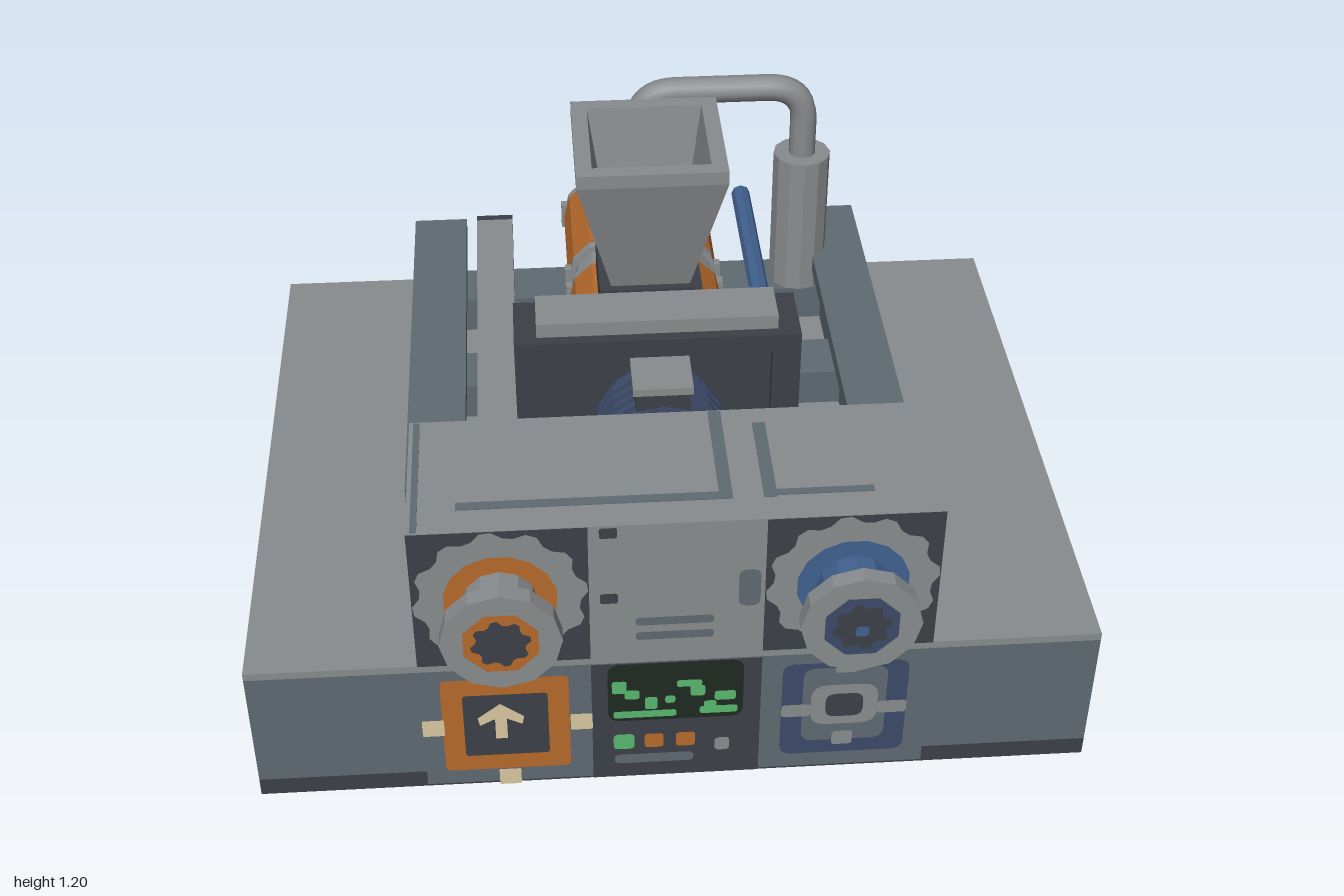
import * as THREE from 'three';

export function createModel() {
  const root = new THREE.Group();
  root.name = 'extruderMachine';
  const colors = {
    gray: 0x898c8e, steel: 0x5f6a72, dark: 0x3c4047, orange: 0xb5692b, blue: 0x41618f,
    navy: 0x3c4b68, cream: 0xd9c8a0, green: 0x58b870, screen: 0x1f2a20,
  };
  const M = {};
  for (const k in colors) {
    M[k] = new THREE.MeshStandardMaterial({ color: colors[k] });
    M[k].name = k;
  }

  const add = (name, geo, mat, x = 0, y = 0, z = 0) => {
    const m = new THREE.Mesh(geo, M[mat]);
    m.name = name;
    m.position.set(x, y, z);
    root.add(m);
    return m;
  };
  const flat = (geo) => {
    const g = geo.index ? geo.toNonIndexed() : geo;
    g.computeVertexNormals();
    return g;
  };
  // Box given by its minimum and maximum corners
  const box = (name, mat, x0, x1, y0, y1, z0, z1) =>
    add(name, new THREE.BoxGeometry(x1 - x0, y1 - y0, z1 - z0), mat, (x0 + x1) / 2, (y0 + y1) / 2, (z0 + z1) / 2);
  // Upright cylinder, and cylinder lying along z
  const cylY = (name, mat, r, x, z, y0, y1, n = 12) =>
    add(name, flat(new THREE.CylinderGeometry(r, r, y1 - y0, n)), mat, x, (y0 + y1) / 2, z);
  const cylZ = (name, mat, r, x, y, z0, z1, n = 12) =>
    add(name, flat(new THREE.CylinderGeometry(r, r, z1 - z0, n).rotateX(Math.PI / 2)), mat, x, y, (z0 + z1) / 2);

  // Flat painted shapes
  const roundRect = (w, h, r) => {
    const s = new THREE.Shape(), a = w / 2, b = h / 2;
    s.moveTo(-a + r, -b);
    s.lineTo(a - r, -b); s.quadraticCurveTo(a, -b, a, -b + r);
    s.lineTo(a, b - r); s.quadraticCurveTo(a, b, a - r, b);
    s.lineTo(-a + r, b); s.quadraticCurveTo(-a, b, -a, b - r);
    s.lineTo(-a, -b + r); s.quadraticCurveTo(-a, -b, -a + r, -b);
    return s;
  };
  const gearShape = (rOut, rIn, teeth) => {
    const pts = [];
    for (let i = 0; i < teeth * 4; i++) {
      const a = ((i + 0.5) / (teeth * 4)) * Math.PI * 2, r = i % 4 < 2 ? rOut : rIn;
      pts.push(new THREE.Vector2(Math.cos(a) * r, Math.sin(a) * r));
    }
    return new THREE.Shape(pts);
  };
  const FRONT = 0.725;
  const paint = (name, mat, shape, x, y, layer, z = FRONT) =>
    add(name, new THREE.ShapeGeometry(shape, 4), mat, x, y, z + layer * 0.002);
  const patch = (name, mat, x, y, w, h, r, layer) => paint(name, mat, roundRect(w, h, r), x, y, layer);

  // Hollow base: deck, outer walls, inner ribs, dark skirting
  box('baseDeck', 'gray', -1, 1, 0.38, 0.4, -0.875, 0.725);
  const wall = (name, x0, x1, z0, z1) => {
    box(name, 'steel', x0, x1, 0.05, 0.38, z0, z1);
    box(name + 'Skirting', 'dark', x0, x1, 0, 0.05, z0, z1);
  };
  for (const s of [-1, 1]) {
    wall('baseSideWall', s > 0 ? 0.97 : -1, s > 0 ? 1 : -0.97, -0.875, 0.725);
    wall('baseFrontWall', s > 0 ? 0.6 : -0.97, s > 0 ? 0.97 : -0.6, 0.695, 0.725);
  }
  wall('baseBackWall', -0.97, 0.97, -0.875, -0.845);
  for (const z of [-0.475, -0.075, 0.305]) wall('baseRib', -0.97, 0.97, z - 0.02, z + 0.02);

  // Lower control block and upper housing
  box('controlBlock', 'steel', -0.6, 0.6, 0.005, 0.38, 0.325, FRONT);
  box('controlBlockBottom', 'dark', -0.6, 0.6, 0, 0.005, 0.325, FRONT);
  box('housing', 'gray', -0.6, 0.6, 0.4, 0.8, 0.325, FRONT);

  // Housing front: dark side panels, dial plates and pipe stubs
  for (const [s, accent, pipe] of [[-1, 'orange', 'gray'], [1, 'blue', 'blue']]) {
    const x = s * 0.4, ring = s < 0 ? 'orange' : 'navy';
    patch('dialPanel', 'dark', x, 0.6, 0.4, 0.4, 0.002, 1);
    paint('dialPlate', 'gray', gearShape(0.199, 0.182, 12), x, 0.6, 2);
    paint('dialRing', accent, gearShape(0.13, 0.13, 4), x, 0.6, 3);
    cylZ('pipeStub', pipe, 0.085, x, 0.6, FRONT, 0.83);
    cylZ('pipeFlange', 'gray', 0.137, x, 0.6, 0.83, 0.87);
    paint('pipeRing', ring, gearShape(0.09, 0.09, 2), x, 0.6, 1, 0.87);
    paint('pipeBore', 'dark', gearShape(0.068, 0.056, 8), x, 0.6, 2, 0.87);
  }
  patch('boreCore', 'blue', 0.4, 0.59, 0.03, 0.03, 0.01, 76);

  // Housing centre slots
  for (const y of [0.51, 0.465]) patch('ventSlot', 'steel', -0.005, y, 0.18, 0.024, 0.01, 1);
  for (const y of [0.78, 0.585]) patch('latchSlot', 'dark', -0.155, y, 0.04, 0.03, 0.006, 1);
  patch('wornPatch', 'steel', 0.165, 0.6, 0.05, 0.11, 0.02, 1);

  // Worn strips on the housing top and sides
  const topStrip = (x0, x1, z0, z1) => box('topWornStrip', 'steel', x0, x1, 0.8, 0.802, z0, z1);
  topStrip(-0.49, 0.13, 0.625, 0.65);
  topStrip(0.1, 0.13, 0.33, 0.625);
  topStrip(0.2, 0.23, 0.38, 0.65);
  topStrip(0.23, 0.45, 0.625, 0.645);
  topStrip(-0.59, -0.575, 0.33, 0.72);
  for (const s of [-1, 1]) {
    const x0 = s > 0 ? 0.6 : -0.602;
    box('sideWornStrip', 'steel', x0, x0 + 0.002, 0.42, 0.72, 0.62, 0.655);
    box('sideWornStrip', 'steel', x0, x0 + 0.002, 0.705, 0.74, 0.48, 0.65);
    box('sideWornStrip', 'steel', x0, x0 + 0.002, 0.71, 0.72, 0.33, 0.48);
  }

  // Left control panel: orange frame, arrow and cream tabs
  patch('arrowFrame', 'orange', -0.403, 0.2, 0.3, 0.3, 0.015, 1);
  patch('arrowScreen', 'dark', -0.403, 0.2, 0.2, 0.2, 0.01, 2);
  for (const [x, y] of [[-0.4, 0.375], [-0.4, 0.025], [-0.575, 0.2], [-0.225, 0.2]])
    patch('creamTab', 'cream', x, y, 0.052, 0.052, 0.003, 3);
  const arrow = new THREE.Shape([[-0.014, -0.055], [0.014, -0.055], [0.014, 0.01], [0.05, -0.01], [0.055, 0.015],
    [0, 0.06], [-0.055, 0.015], [-0.05, -0.01], [-0.014, 0.01]].map((p) => new THREE.Vector2(...p)));
  paint('arrow', 'cream', arrow, -0.415, 0.212, 3);

  // Centre control panel: display and buttons
  patch('displayPanel', 'dark', 0, 0.19, 0.4, 0.378, 0.002, 1);
  patch('display', 'screen', -0.002, 0.285, 0.32, 0.185, 0.03, 2);
  for (const [x, y, w, h] of [[-0.075, 0.215, 0.15, 0.022], [0.1, 0.22, 0.09, 0.024], [-0.135, 0.305, 0.035, 0.04],
    [-0.105, 0.28, 0.035, 0.03], [-0.06, 0.25, 0.03, 0.04], [0.03, 0.31, 0.06, 0.022], [0.05, 0.285, 0.035, 0.035],
    [0.115, 0.265, 0.05, 0.03], [-0.015, 0.26, 0.024, 0.024], [0.08, 0.235, 0.03, 0.03]])
    patch('displayTrace', 'green', x, y, w, h, 0.008, 3);
  patch('button', 'green', -0.125, 0.122, 0.05, 0.05, 0.012, 2);
  for (const x of [-0.053, 0.022]) patch('button', 'orange', x, 0.122, 0.046, 0.046, 0.01, 2);
  patch('panelSlot', 'steel', -0.053, 0.063, 0.19, 0.03, 0.014, 2);
  patch('panelKnob', 'gray', 0.11, 0.1, 0.036, 0.042, 0.012, 2);

  // Right control panel: navy plate and gray port
  patch('portPlate', 'navy', 0.4, 0.2, 0.3, 0.3, 0.03, 1);
  patch('portGround', 'steel', 0.4, 0.215, 0.2, 0.24, 0.03, 2);
  patch('portRim', 'gray', 0.4, 0.215, 0.16, 0.13, 0.04, 3);
  patch('portHole', 'dark', 0.4, 0.215, 0.09, 0.075, 0.025, 4);
  patch('portKnob', 'gray', 0.4, 0.102, 0.05, 0.045, 0.01, 3);
  patch('portTab', 'gray', 0.4, 0.35, 0.05, 0.06, 0.005, 3);
  for (const x of [0.285, 0.515]) patch('portTab', 'gray', x, 0.2, 0.07, 0.04, 0.01, 3);

  // Side rails, cross beams and barrel saddles
  for (const s of [-1, 1]) {
    const at = (name, w, y0, y1) => box(name, 'steel', s * 0.5525 - w / 2, s * 0.5525 + w / 2, y0, y1, -0.875, 0.325);
    at('railWeb', 0.09, 0.4, 0.555);
    at('railCap', 0.145, 0.555, 0.6);
  }
  for (const z of [-0.685, -0.285]) {
    box('crossBeam', 'steel', -0.51, 0.51, 0.4, 0.5, z - 0.075, z + 0.075);
    box('barrelSaddle', 'dark', -0.15, 0.15, 0.5, 0.57, z - 0.1, z + 0.1);
  }
  box('cableTray', 'gray', -0.45, -0.35, 0.56, 0.61, -0.85, 0.325);
  box('cableTrayEnd', 'dark', -0.45, -0.35, 0.56, 0.61, -0.873, -0.85);
  for (const z of [-0.685, -0.285, 0.2]) box('cableTrayPost', 'steel', -0.43, -0.37, 0.4, 0.56, z - 0.04, z + 0.04);

  // Twin barrel: gray cores, orange heater jackets, clamp flanges
  for (const s of [-1, 1]) {
    cylZ('barrelCore', 'gray', 0.105, s * 0.085, 0.625, -0.873, -0.07);
    for (const z of [-0.68, -0.27]) {
      cylZ('heaterJacket', 'orange', 0.125, s * 0.078, 0.625, z - 0.15, z + 0.15);
      for (const e of [-0.163, 0.163]) {
        cylZ('barrelFlange', 'gray', 0.118, s * 0.085, 0.625, z + e - 0.013, z + e + 0.013);
        box('flangeLug', 'gray', s * 0.19 - 0.02, s * 0.19 + 0.02, 0.59, 0.66, z + e - 0.013, z + e + 0.013);
      }
    }
  }
  cylZ('coolantRod', 'blue', 0.026, 0.303, 0.655, -0.873, -0.07, 8);

  // Gearbox with corner posts and lid
  box('gearboxBody', 'dark', -0.31, 0.31, 0.4, 0.82, -0.05, 0.08);
  for (const s of [-1, 1])
    for (const z of [-0.05, 0.085]) box('gearboxPost', 'dark', s * 0.315 - 0.035, s * 0.315 + 0.035, 0.4, 0.82, z - 0.022, z + 0.022);
  box('gearboxLid', 'dark', -0.35, 0.35, 0.81, 0.855, -0.073, 0.108);
  box('gearboxCover', 'gray', -0.295, 0.295, 0.855, 0.893, -0.045, 0.08);

  // Finned motor
  cylZ('motorBody', 'navy', 0.145, 0, 0.615, 0.08, 0.325, 16);
  for (let i = 0; i < 6; i++) cylZ('motorFin', 'navy', 0.163, 0, 0.615, 0.125 + i * 0.034, 0.142 + i * 0.034, 16);
  box('motorTerminalBox', 'dark', -0.065, 0.065, 0.74, 0.815, 0.155, 0.275);
  box('motorTerminalLid', 'gray', -0.072, 0.072, 0.815, 0.835, 0.15, 0.28);

  // Square feed hopper on a dark neck
  box('hopperNeck', 'dark', -0.13, 0.13, 0.68, 0.825, -0.405, -0.155);
  const profile = [[0.1, 0.825], [0.185, 1.165], [0.185, 1.2], [0.145, 1.2], [0.095, 0.86]]
    .map(([h, y]) => new THREE.Vector2(h * Math.SQRT2, y));
  add('hopper', flat(new THREE.LatheGeometry(profile, 4, Math.PI / 4)), 'gray', 0, 0, -0.275);
  box('hopperFloor', 'dark', -0.096, 0.096, 0.825, 0.862, -0.371, -0.179);

  // Vent port, bent hose and collecting pot
  cylY('ventPort', 'dark', 0.075, 0, -0.68, 0.7, 0.86);
  cylY('ventFlange', 'gray', 0.102, 0, -0.68, 0.86, 0.895);
  cylY('collectorPot', 'gray', 0.077, 0.445, -0.68, 0.5, 0.9);
  const V = (x, y) => new THREE.Vector3(x, y, -0.68);
  const hose = new THREE.CurvePath();
  hose.add(new THREE.LineCurve3(V(0, 0.88), V(0, 1.0)));
  hose.add(new THREE.QuadraticBezierCurve3(V(0, 1.0), V(0, 1.1), V(0.1, 1.1)));
  hose.add(new THREE.LineCurve3(V(0.1, 1.1), V(0.345, 1.1)));
  hose.add(new THREE.QuadraticBezierCurve3(V(0.345, 1.1), V(0.445, 1.1), V(0.445, 1.0)));
  hose.add(new THREE.LineCurve3(V(0.445, 1.0), V(0.445, 0.88)));
  add('ventHose', new THREE.TubeGeometry(hose, 48, 0.036, 10), 'gray');

  return root;
}
